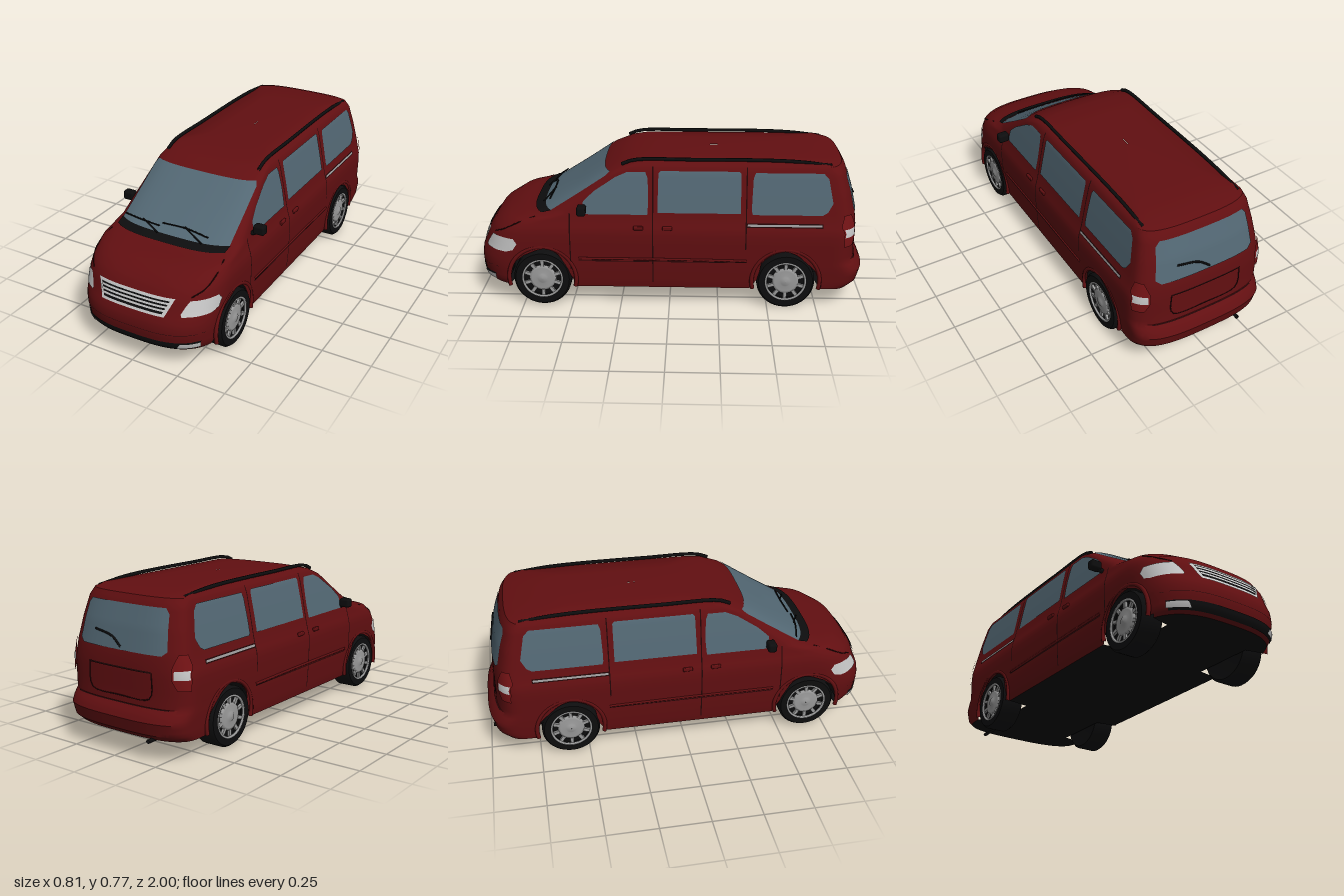
import * as THREE from 'three';
import { toCreasedNormals } from 'three/addons/utils/BufferGeometryUtils.js';
import { RoundedBoxGeometry } from 'three/addons/geometries/RoundedBoxGeometry.js';

const mat = (name, color, side = THREE.FrontSide) => {
  const m = new THREE.MeshStandardMaterial({ color, side });
  m.name = name;
  return m;
};

// Body levels: height, half width, front z, rear z, front corner depth, rear corner depth
const LEVELS = [
  [0.10, 0.345, 0.965, -0.95, 0.30, 0.15], [0.13, 0.35, 0.99, -0.985, 0.30, 0.15],
  [0.19, 0.355, 1.0, -1.0, 0.30, 0.15], [0.22, 0.357, 1.0, -0.985, 0.30, 0.15],
  [0.25, 0.358, 0.995, -0.957, 0.30, 0.14], [0.30, 0.36, 0.972, -0.955, 0.30, 0.14],
  [0.36, 0.362, 0.95, -0.955, 0.30, 0.14], [0.41, 0.36, 0.915, -0.955, 0.29, 0.14],
  [0.455, 0.347, 0.84, -0.952, 0.23, 0.13], [0.49, 0.339, 0.66, -0.947, 0.16, 0.12],
  [0.60, 0.318, 0.485, -0.922, 0.12, 0.11], [0.70, 0.297, 0.335, -0.89, 0.09, 0.10],
  [0.735, 0.283, 0.255, -0.868, 0.09, 0.10], [0.75, 0.263, 0.19, -0.82, 0.09, 0.10],
  [0.757, 0.15, 0.05, -0.6, 0.08, 0.08], [0.76, 0.001, -0.2, -0.25, 0.02, 0.02],
];
const section = (y) => {
  let i = 0;
  while (i < LEVELS.length - 2 && y > LEVELS[i + 1][0]) i++;
  const a = LEVELS[i], b = LEVELS[i + 1];
  const t = THREE.MathUtils.clamp((y - a[0]) / (b[0] - a[0]), 0, 1);
  return a.map((v, k) => v + (b[k] - v) * t).slice(1);
};
const bow = (q) => Math.cbrt(Math.max(0, 1 - Math.abs(q) ** 3));

// Points on the body skin, addressed from the front, the rear or a side
const onFront = (x, y) => {
  const [w, f, , l] = section(y);
  return new THREE.Vector3(x, y, f - l + l * bow(x / w));
};
const onRear = (x, y) => {
  const [w, , r, , l] = section(y);
  return new THREE.Vector3(x, y, r + l - l * bow(x / w));
};
const onSide = (s) => (z, y) => {
  const [w, f, r, lf, lr] = section(y);
  const q = z > f - lf ? (z - f + lf) / lf : z < r + lr ? (r + lr - z) / lr : 0;
  return new THREE.Vector3(s * w * bow(q), y, z);
};

const AXLES = [0.648, -0.59], WHEEL_R = 0.147, ARCH_R = 0.165;
const archY = (z) => {
  const c = AXLES.find((a) => Math.abs(z - a) < ARCH_R);
  return c === undefined ? 0 : WHEEL_R + Math.sqrt(ARCH_R ** 2 - (z - c) ** 2);
};

// Columns running round the plan outline
const NE = 40, NS = 90, NC = 2 * (NE + NS);
function ringPoint(i, y) {
  const [w, f, r, lf, lr] = section(y);
  const zf = f - lf, zr = r + lr;
  const end = (t) => [w * Math.sign(Math.cos(t)) * Math.abs(Math.cos(t)) ** (2 / 3), Math.abs(Math.sin(t)) ** (2 / 3)];
  i %= NC;
  if (i <= NE) { const [x, q] = end(Math.PI * i / NE); return [x, y, zf + lf * q]; }
  if (i < NE + NS) return [-w, y, zf + (zr - zf) * (i - NE) / NS];
  if (i <= 2 * NE + NS) { const [x, q] = end(Math.PI * (1 + (i - NE - NS) / NE)); return [x, y, zr - lr * q]; }
  return [w, y, zr + (zf - zr) * (i - 2 * NE - NS) / NS];
}

function bodyGeometry() {
  const ys = [];
  for (let k = 0; k < LEVELS.length - 1; k++) {
    const a = LEVELS[k][0], b = LEVELS[k + 1][0], n = Math.max(1, Math.round((b - a) / 0.02));
    for (let j = 0; j < n; j++) ys.push(a + (b - a) * j / n);
  }
  ys.push(0.76);
  const pos = [], idx = [];
  ys.forEach((y, j) => {
    for (let i = 0; i < NC; i++) {
      // Lift the lower edge over the wheels
      pos.push(...ringPoint(i, Math.max(y, archY(ringPoint(i, y)[2]))));
      if (j === ys.length - 1) continue;
      const a = j * NC + i, b = j * NC + (i + 1) % NC;
      idx.push(a, a + NC, b, b, a + NC, b + NC);
    }
  });
  const g = new THREE.BufferGeometry();
  g.setAttribute('position', new THREE.Float32BufferAttribute(pos, 3));
  g.setIndex(idx);
  return toCreasedNormals(g, 0.6);
}

// Thin panel following the skin; rows are [height, start, end]
function panelGeometry(on, rows, off) {
  const pos = [], idx = [], U = 20, e = 0.002;
  let count = 0, flip = false;
  for (let k = 0; k < rows.length - 1; k++) {
    const n = Math.max(1, Math.ceil((rows[k + 1][0] - rows[k][0]) / 0.02));
    for (let j = k ? 1 : 0; j <= n; j++, count++) {
      const [y, u0, u1] = rows[k].map((v, m) => v + (rows[k + 1][m] - v) * j / n);
      for (let i = 0; i <= U; i++) {
        const u = u0 + (u1 - u0) * i / U, p = on(u, y);
        const du = on(u + e, y).sub(on(u - e, y)), dv = on(u, y + e).sub(on(u, y - e));
        const nrm = du.cross(dv).normalize();
        flip = nrm.dot(new THREE.Vector3(p.x, 0, p.z)) < 0;
        p.addScaledVector(nrm, flip ? -off : off);
        pos.push(p.x, p.y, p.z);
      }
    }
  }
  for (let j = 0; j < count - 1; j++) for (let i = 0; i < U; i++) {
    const a = j * (U + 1) + i, b = a + 1, c = a + U + 1, d = c + 1;
    idx.push(...(flip ? [a, c, b, b, c, d] : [a, b, c, b, d, c]));
  }
  const g = new THREE.BufferGeometry();
  g.setAttribute('position', new THREE.Float32BufferAttribute(pos, 3));
  g.setIndex(idx);
  g.computeVertexNormals();
  return g;
}

export function createModel() {
  const paint = mat('red paint', 0x620f11), black = mat('black trim', 0x0d0d0e, THREE.DoubleSide);
  const glass = mat('tinted glass', 0x536874), white = mat('lamp white', 0xc9c9c9);
  const rim = mat('wheel silver', 0x9b9b9b), seam = mat('dark seam', 0x220506), lampRed = mat('lamp red', 0x741315);
  const van = new THREE.Group();
  van.name = 'van';
  const add = (name, geo, m, parent = van) => {
    const o = new THREE.Mesh(geo, m);
    o.name = name;
    parent.add(o);
    return o;
  };
  const panel = (name, on, rows, m, off = 0.004) => add(name, panelGeometry(on, rows, off), m);
  const tube = (name, pts, r, m) =>
    add(name, new THREE.TubeGeometry(new THREE.CatmullRomCurve3(pts), 24, r, 6), m);
  const wire = (name, on, pts, r, m, lift = 0) =>
    tube(name, pts.map(([u, y]) => on(u, y).add(new THREE.Vector3(0, lift, lift * Math.sign(on(u, y).z)))), r, m);

  add('body', bodyGeometry(), paint);

  // Floor with notches for the wheels
  const outline = [];
  for (let i = 0; i < NC; i++) {
    const [x, , z] = ringPoint(i, 0.1);
    outline.push(new THREE.Vector2(archY(z) && Math.abs(x) > 0.235 ? Math.sign(x) * 0.235 : x, z));
  }
  add('floor', new THREE.ShapeGeometry(new THREE.Shape(outline)).rotateX(Math.PI / 2), black).position.y = 0.1;

  // Front end
  panel('windscreen', onFront, [[0.495, -0.30, 0.30], [0.68, -0.288, 0.288], [0.70, -0.278, 0.278]], glass);
  panel('cowl', onFront, [[0.482, -0.30, 0.30], [0.497, -0.303, 0.303]], black, 0.005);
  wire('wiperBlade', onFront, [[-0.29, 0.51], [-0.18, 0.516], [-0.07, 0.515]], 0.004, black, 0.008);
  wire('wiperArm', onFront, [[-0.17, 0.52], [-0.06, 0.495]], 0.004, black, 0.008);
  wire('wiperBlade', onFront, [[-0.06, 0.525], [0.07, 0.527], [0.195, 0.515]], 0.004, black, 0.008);
  wire('wiperArm', onFront, [[0.06, 0.53], [0.18, 0.495]], 0.004, black, 0.008);
  panel('grilleSurround', onFront, [[0.28, -0.17, 0.17], [0.365, -0.207, 0.207]], white);
  panel('grilleOpening', onFront, [[0.292, -0.158, 0.158], [0.354, -0.186, 0.186]], black, 0.006);
  for (let k = 0; k < 3; k++) {
    const y = 0.304 + k * 0.017, w = 0.165 + k * 0.008;
    panel('grilleSlat', onFront, [[y, -w, w], [y + 0.009, -w - 0.004, w + 0.004]], white, 0.008);
  }
  panel('lowerIntake', onFront, [[0.116, -0.30, 0.30], [0.157, -0.315, 0.315]], black);
  panel('bumperSeam', onFront, [[0.198, -0.33, 0.33], [0.2, -0.33, 0.33]], seam, 0.002);

  // Rear end
  panel('rearWindow', onRear, [[0.49, -0.24, 0.24], [0.51, -0.265, 0.265], [0.67, -0.245, 0.245], [0.695, -0.225, 0.225]], glass);
  wire('rearWiper', onRear, [[-0.01, 0.50], [0.05, 0.54], [0.16, 0.56]], 0.005, black, 0.005);
  wire('plateRecessEdge', onRear, [[-0.19, 0.41], [-0.19, 0.31], [-0.17, 0.285], [0, 0.28], [0.17, 0.285], [0.19, 0.31], [0.19, 0.41]], 0.003, seam);
  panel('tailgateHandle', onRear, [[0.408, -0.19, 0.19], [0.416, -0.19, 0.19]], seam);
  panel('tailgateSeam', onRear, [[0.245, -0.28, 0.28], [0.25, -0.28, 0.28]], seam, 0.003);
  tube('exhaust', [new THREE.Vector3(-0.19, 0.105, -0.8), new THREE.Vector3(-0.19, 0.1, -0.98)], 0.01, black);

  for (const s of [1, -1]) {
    const side = onSide(s);
    const span = (y, a, b) => (s > 0 ? [y, a, b] : [y, -b, -a]);

    // Lamps
    panel('headlight', onFront, [span(0.288, 0.245, 0.343), span(0.30, 0.24, 0.352), span(0.335, 0.255, 0.355), span(0.36, 0.27, 0.35)], white);
    panel('fogLight', onFront, [span(0.126, 0.225, 0.31), span(0.15, 0.24, 0.313)], white, 0.007);
    panel('tailLamp', onRear, [span(0.34, 0.315, 0.354), span(0.39, 0.29, 0.355), span(0.44, 0.29, 0.349), span(0.50, 0.31, 0.333)], lampRed, 0.008);
    panel('reverseLamp', onRear, [span(0.39, 0.30, 0.352), span(0.43, 0.30, 0.348)], white, 0.0095);

    // Side glass
    panel('frontSideWindow', side, [[0.495, 0.11, 0.44], [0.56, 0.105, 0.43], [0.61, 0.105, 0.375], [0.68, 0.11, 0.27], [0.705, 0.12, 0.21]], glass);
    panel('middleSideWindow', side, [[0.505, -0.355, 0.06], [0.70, -0.355, 0.055], [0.71, -0.345, 0.045]], glass);
    panel('rearSideWindow', side, [[0.50, -0.76, -0.415], [0.515, -0.785, -0.41], [0.56, -0.81, -0.41], [0.68, -0.785, -0.415], [0.705, -0.76, -0.425]], glass);

    // Door seams, handles, rail and sill
    for (const [z, y0, y1] of [[0.083, 0.13, 0.73], [-0.383, 0.32, 0.73], [0.5, 0.2, 0.5]])
      panel('doorSeam', side, [[y0, z - 0.003, z + 0.003], [y1, z - 0.003, z + 0.003]], seam, 0.002);
    panel('slidingRailGroove', side, [[0.437, -0.765, -0.385], [0.459, -0.765, -0.385]], seam, 0.003);
    panel('slidingRail', side, [[0.443, -0.76, -0.39], [0.453, -0.76, -0.39]], rim, 0.005);
    wire('sillMoulding', side, [[-0.39, 0.258], [0, 0.262], [0.46, 0.262]], 0.007, paint);
    panel('sillSeam', side, [[0.247, -0.39, 0.46], [0.251, -0.39, 0.46]], seam, 0.002);
    for (const z of [0.155, 0.01]) {
      const h = add('doorHandle', new RoundedBoxGeometry(0.014, 0.02, 0.05, 2, 0.005), paint);
      h.position.set(s * 0.358, 0.43, z);
    }
    wire('bonnetSeam', onFront, [[s * 0.315, 0.472], [s * 0.325, 0.44], [s * 0.31, 0.40], [s * 0.27, 0.372]], 0.003, seam);

    // Roof rail
    tube('roofRail', [[0.735, 0.24], [0.757, 0.18], [0.761, -0.1], [0.757, -0.6], [0.737, -0.8]]
      .map(([y, z]) => new THREE.Vector3(s * 0.261, y, z)), 0.009, black);

    // Door mirror
    add('mirror', new RoundedBoxGeometry(0.06, 0.048, 0.045, 3, 0.012), black).position.set(s * 0.374, 0.528, 0.435);
    tube('mirrorArm', [new THREE.Vector3(s * 0.32, 0.5, 0.45), new THREE.Vector3(s * 0.36, 0.512, 0.44)], 0.012, black);

    for (const z of AXLES) {
      // Wheel housing and arch lip
      const well = add('wheelHousing', new THREE.CylinderGeometry(ARCH_R + 0.003, ARCH_R + 0.003, 0.115, 32, 1, true, 0, Math.PI)
        .rotateZ(Math.PI / 2), black);
      well.position.set(s * 0.293, WHEEL_R, z);
      if (well.geometry.attributes.position.getY(8) < 0) well.rotation.x = Math.PI;
      add('housingWall', new THREE.CircleGeometry(ARCH_R, 32, 0, Math.PI).rotateY(Math.PI / 2), black).position.set(s * 0.236, WHEEL_R, z);
      const lip = add('archLip', new THREE.TorusGeometry(0.172, 0.011, 8, 40, Math.PI + 0.5).rotateZ(-0.25).rotateY(Math.PI / 2), paint);
      lip.position.set(s * 0.352, WHEEL_R, z);

      // Wheel, built with its outer face towards +x
      const wheel = new THREE.Group();
      wheel.name = 'wheel';
      wheel.position.set(s * 0.304, WHEEL_R, z);
      if (s < 0) wheel.rotation.y = Math.PI;
      van.add(wheel);
      const lathe = (pts) => new THREE.LatheGeometry(pts.map(([r, h]) => new THREE.Vector2(r, h)), 40).rotateZ(-Math.PI / 2);
      add('tyre', toCreasedNormals(lathe([[0.0, -0.05], [0.1, -0.055], [0.135, -0.06], [0.147, -0.045], [0.147, 0.045], [0.137, 0.058], [0.1, 0.058], [0.096, 0.04], [0, 0.04]]), 0.7), black, wheel);
      add('rimEdge', new THREE.TorusGeometry(0.1, 0.006, 8, 40).rotateY(Math.PI / 2), rim, wheel).position.x = 0.055;
      add('hubCap', lathe([[0.068, 0.04], [0.068, 0.05], [0.055, 0.054], [0.03, 0.052], [0.022, 0.058], [0.001, 0.06]]), rim, wheel);
      for (let k = 0; k < 10; k++) {
        const spoke = add('spoke', new THREE.BoxGeometry(0.012, 0.036, 0.017).translate(0.047, 0.082, 0), rim, wheel);
        spoke.rotation.x = k * Math.PI / 5;
      }
    }
  }
  return van;
}
